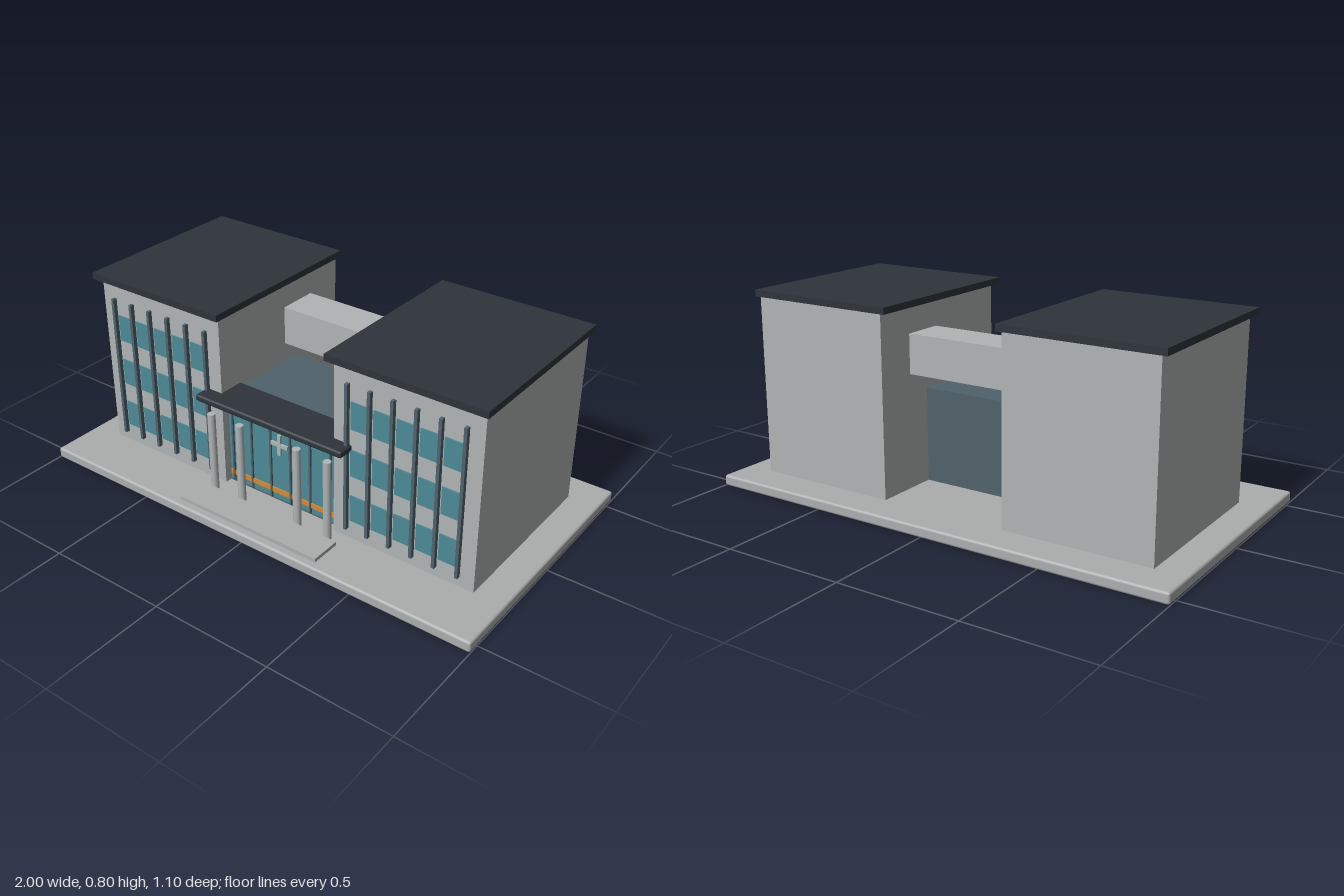
import * as THREE from 'three';
import { RoundedBoxGeometry } from 'three/addons/geometries/RoundedBoxGeometry.js';

function material(name, color) {
  const m = new THREE.MeshStandardMaterial({ color });
  m.name = name;
  return m;
}

export function createModel() {
  const concrete = material('concrete', 0xb0b4b4);
  const paving = material('paving', 0xabaeae);
  const roofing = material('dark roofing', 0x2d343b);
  const slate = material('slate metal', 0x4f626a);
  const glass = material('teal glass', 0x4c8b97);
  const orange = material('orange band', 0xd98a30);

  const building = new THREE.Group();
  building.name = 'building';

  // Box given by its extents along each axis; a radius rounds its edges
  function box(parent, name, mat, [x0, x1], [y0, y1], [z0, z1], radius = 0) {
    const size = [x1 - x0, y1 - y0, z1 - z0];
    const geometry = radius
      ? new RoundedBoxGeometry(...size, 2, radius)
      : new THREE.BoxGeometry(...size);
    const mesh = new THREE.Mesh(geometry, mat);
    mesh.position.set((x0 + x1) / 2, (y0 + y1) / 2, (z0 + z1) / 2);
    mesh.name = name;
    parent.add(mesh);
    return mesh;
  }

  // Ground slab and entrance step
  box(building, 'groundSlab', paving, [-1, 1], [0, 0.045], [-0.55, 0.55], 0.01);
  box(building, 'entranceStep', paving, [-0.33, 0.33], [0.044, 0.06], [0.388, 0.517]);

  // Two matching wings with window grid and vertical fins
  for (const side of [-1, 1]) {
    const wing = new THREE.Group();
    wing.name = side > 0 ? 'leftWing' : 'rightWing';
    building.add(wing);
    const cx = side * 0.572;
    const span = (x, w) => [x - w / 2, x + w / 2];

    box(wing, 'wingWalls', concrete, span(cx, 0.608), [0.044, 0.777], [-0.41, 0.32]);
    box(wing, 'wingRoof', roofing, span(cx, 0.651), [0.776, 0.803], [-0.417, 0.352]);

    for (let col = 0; col < 5; col++) {
      for (const y of [0.182, 0.379, 0.577]) {
        box(wing, 'window', glass, span(cx + (col - 2) * 0.096, 0.073),
          [y - 0.056, y + 0.056], [0.317, 0.325]);
      }
    }
    for (let i = 0; i < 6; i++) {
      box(wing, 'fin', slate, span(cx + (i - 2.5) * 0.096, 0.013), [0.09, 0.706], [0.323, 0.34]);
    }
  }

  // Enclosed bridge between the wings
  box(building, 'bridge', concrete, [-0.27, 0.27], [0.51, 0.67], [-0.24, -0.07]);

  // Entrance hall
  const hall = new THREE.Group();
  hall.name = 'entranceHall';
  building.add(hall);
  box(hall, 'hallBody', slate, [-0.272, 0.272], [0.044, 0.432], [-0.135, 0.29]);
  box(hall, 'hallGlazing', glass, [-0.258, 0.258], [0.058, 0.4], [0.288, 0.297]);
  box(hall, 'safetyBand', orange, [-0.255, 0.255], [0.085, 0.106], [0.296, 0.302]);
  for (let i = 0; i < 6; i++) {
    const x = (i - 2.5) * 0.095;
    box(hall, 'mullion', slate, [x - 0.004, x + 0.004], [0.058, 0.4], [0.296, 0.304]);
  }

  // Plain cross on the glazing
  box(hall, 'crossUpright', concrete, [-0.008, 0.008], [0.268, 0.358], [0.3, 0.309]);
  box(hall, 'crossBar', concrete, [-0.04, 0.04], [0.305, 0.321], [0.3, 0.3085]);

  // Canopy and columns
  box(building, 'canopy', roofing, [-0.346, 0.346], [0.426, 0.454], [0.206, 0.386], 0.009);
  const columnGeometry = new THREE.CylinderGeometry(0.016, 0.016, 0.342, 20);
  for (const x of [-0.278, -0.137, 0.137, 0.278]) {
    const column = new THREE.Mesh(columnGeometry, concrete);
    column.name = 'column';
    column.position.set(x, 0.215, 0.374);
    building.add(column);
  }

  return building;
}
